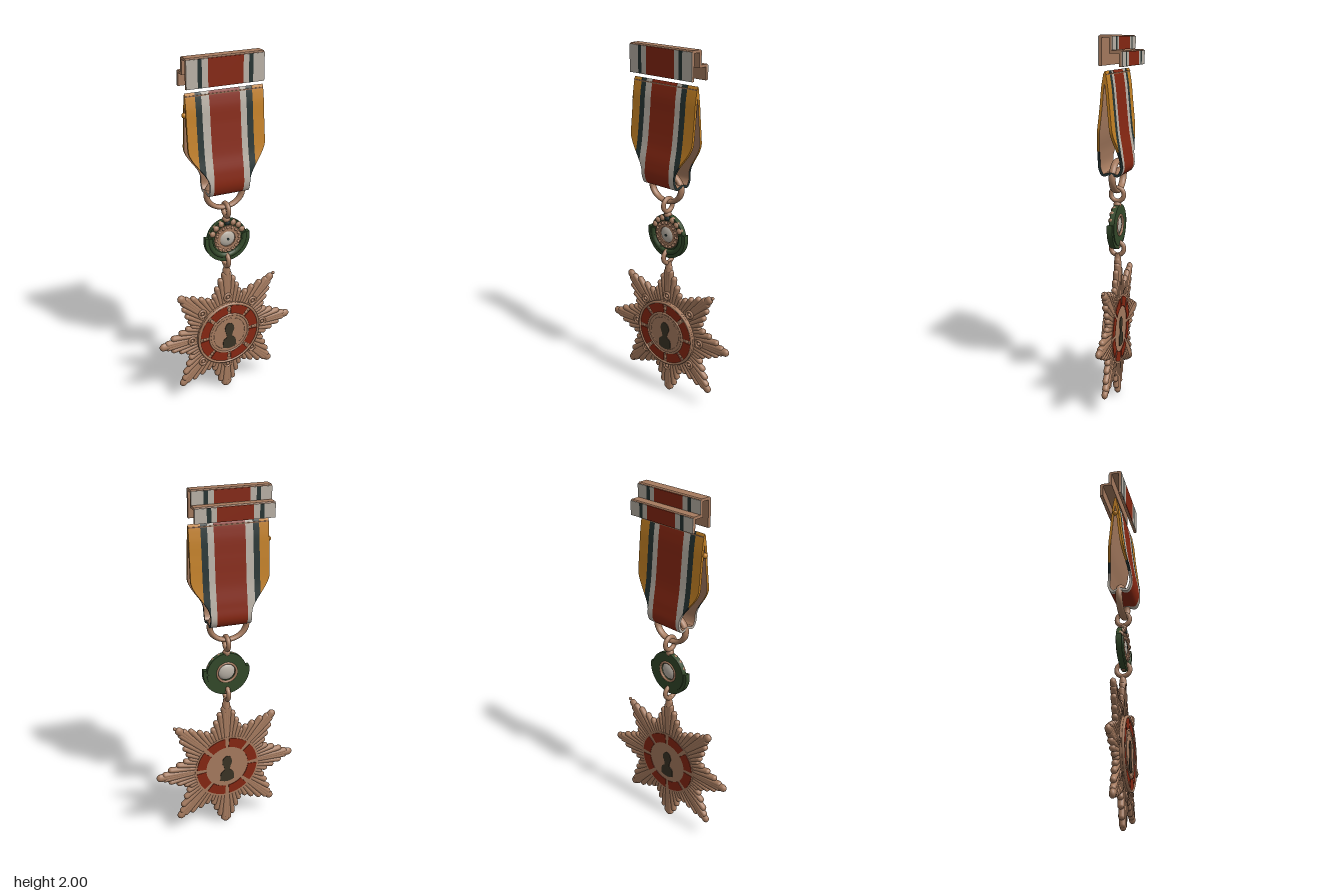
import * as THREE from 'three';
import { mergeGeometries, mergeVertices, toCreasedNormals } from 'three/addons/utils/BufferGeometryUtils.js';

const material = (name, color, side = THREE.FrontSide) =>
  Object.assign(new THREE.MeshStandardMaterial({ color, side }), { name });

export function createModel() {
  const bronze = material('bronze', 0xa67b5f, THREE.DoubleSide);
  const red = material('red', 0x862712, THREE.DoubleSide);
  const orange = material('orange', 0xc38024, THREE.DoubleSide);
  const white = material('white', 0xbab2a7, THREE.DoubleSide);
  const dark = material('dark teal', 0x253332, THREE.DoubleSide);
  const green = material('green', 0x33492a);
  const umber = material('umber', 0x3a3325);

  const model = new THREE.Group();
  const add = (parent, name, geometry, mat, x = 0, y = 0, z = 0) => {
    const mesh = new THREE.Mesh(geometry, mat);
    mesh.name = name;
    mesh.position.set(x, y, z);
    parent.add(mesh);
    return mesh;
  };
  const group = (name, x, y, z) => {
    const g = new THREE.Group();
    g.name = name;
    g.position.set(x, y, z);
    model.add(g);
    return g;
  };
  // Flat ring or ring segment between two radii
  const arcPlate = (outer, inner, depth, a0 = 0, a1 = Math.PI * 2 - 0.001) => {
    const s = new THREE.Shape();
    s.absarc(0, 0, outer, a0, a1, false);
    s.absarc(0, 0, inner, a1, a0, true);
    return new THREE.ExtrudeGeometry(s, { depth, bevelEnabled: false, curveSegments: 36 });
  };
  const disc = (r, depth) => new THREE.CylinderGeometry(r, r, depth, 48).rotateX(Math.PI / 2);

  // Brooch bar: stepped sheet profile, drawn as (-z, y) and extruded along x
  const bar = group('broochBar', 0, 0, 0);
  const profile = new THREE.Shape([
    [-0.037, 1.85], [-0.037, 1.995], [-0.03, 2], [0.023, 2], [0.03, 1.995], [0.03, 1.925], [0.076, 1.925],
    [0.081, 1.92], [0.081, 1.845], [0.067, 1.845], [0.067, 1.911], [0.016, 1.911], [0.016, 1.986],
    [-0.023, 1.986], [-0.023, 1.85],
  ].map(([u, y]) => new THREE.Vector2(u, y)));
  add(bar, 'barBody', new THREE.ExtrudeGeometry(profile, { depth: 0.42, bevelEnabled: false })
    .rotateY(Math.PI / 2), bronze, -0.235);
  const barStripes = [
    [-0.235, -0.175, white], [-0.175, -0.153, dark], [-0.153, -0.12, white], [-0.12, 0.07, red],
    [0.07, 0.1, white], [0.1, 0.123, dark], [0.123, 0.185, white],
  ];
  for (const [z, y0, y1] of [[0.038, 1.851, 1.993], [-0.031, 1.927, 1.993], [-0.082, 1.846, 1.919]])
    for (const [x0, x1, mat] of barStripes)
      add(bar, 'barStripe', new THREE.BoxGeometry(x1 - x0, y1 - y0, 0.005), mat, (x0 + x1) / 2, (y0 + y1) / 2, z);

  // Ribbon: a closed loop of cloth, tapering toward the ring
  const ribbon = group('ribbon', 0, 0, 0);
  const path = new THREE.CatmullRomCurve3([
    [0.004, 1.825], [0.02, 1.76], [0.031, 1.65], [0.05, 1.5], [0.07, 1.4], [0.073, 1.32], [0.05, 1.277],
    [0.005, 1.285], [-0.035, 1.275], [-0.06, 1.31], [-0.054, 1.39], [-0.036, 1.5], [-0.021, 1.65], [-0.01, 1.76],
  ].map(([z, y]) => new THREE.Vector3(0, y, z)), true);
  const steps = 96;
  const rows = Array.from({ length: steps + 1 }, (_, i) => {
    const p = path.getPointAt((i % steps) / steps), t = path.getTangentAt((i % steps) / steps);
    const k = THREE.MathUtils.smoothstep(p.y, 1.34, 1.54);
    return {
      left: -0.128 - 0.105 * k, right: 0.098 + 0.097 * k,
      outer: [p.y, p.z], inner: [p.y - 0.014 * t.z, p.z + 0.014 * t.y],
    };
  });
  const strip = (x0, x1, lining) => {
    const pos = [];
    const quad = (a, b, c, d) => pos.push(...a, ...b, ...c, ...a, ...c, ...d);
    for (let i = 0; i < steps; i++) {
      const [p, q] = [rows[i], rows[i + 1]];
      const [pa, pb, qa, qb] = [[p, x0], [p, x1], [q, x0], [q, x1]].map(
        ([r, x]) => THREE.MathUtils.clamp(x, r.left, r.right));
      if (pb - pa < 1e-4 && qb - qa < 1e-4) continue;
      if (lining) {
        quad([pa, ...p.inner], [pb, ...p.inner], [qb, ...q.inner], [qa, ...q.inner]);
      } else {
        quad([pa, ...p.outer], [qa, ...q.outer], [qb, ...q.outer], [pb, ...p.outer]);
        quad([pa, ...p.inner], [qa, ...q.inner], [qa, ...q.outer], [pa, ...p.outer]);
        quad([pb, ...p.outer], [qb, ...q.outer], [qb, ...q.inner], [pb, ...p.inner]);
      }
    }
    const g = new THREE.BufferGeometry();
    g.setAttribute('position', new THREE.Float32BufferAttribute(pos, 3));
    return toCreasedNormals(mergeVertices(g), 0.8);
  };
  const ribbonStripes = [
    [-0.24, -0.18, orange], [-0.18, -0.147, dark], [-0.147, -0.105, white], [-0.105, 0.063, red],
    [0.063, 0.097, white], [0.097, 0.132, dark], [0.132, 0.2, orange],
  ];
  for (const [x0, x1, mat] of ribbonStripes) add(ribbon, 'ribbonStripe', strip(x0, x1, false), mat);
  add(ribbon, 'ribbonLining', strip(-0.24, 0.2, true), bronze);
  add(ribbon, 'ribbonKnot', new THREE.SphereGeometry(0.014, 12, 8), orange, -0.236, 1.715, 0.005);

  // Suspension ring and the two small links
  const ring = add(model, 'suspensionRing', new THREE.TorusGeometry(0.103, 0.016, 12, 48), bronze, -0.016, 1.265, 0);
  ring.scale.set(1, 0.8, 1.2);
  for (const [y, r] of [[1.163, 0.036], [0.862, 0.037]])
    add(model, 'link', new THREE.TorusGeometry(r, 0.013, 10, 28).rotateY(Math.PI / 2), bronze, -0.007, y, 0);

  // Rosette: green wreath, bronze beads and a white domed centre
  const rosette = group('rosette', -0.004, 0.995, 0);
  add(rosette, 'wreath', arcPlate(0.113, 0.055, 0.028), green, 0, 0, -0.017);
  add(rosette, 'wreathLeaves', arcPlate(0.132, 0.088, 0.03, Math.PI * 0.94, Math.PI * 2.06), green, 0, 0, -0.012);
  add(rosette, 'wreathRim', new THREE.TorusGeometry(0.1, 0.016, 8, 40, Math.PI * 1.12), green, 0, 0, 0.008)
    .rotation.z = Math.PI * 0.94;
  for (let i = 0; i <= 6; i++) {
    const a = Math.PI * (0.14 + i * 0.12);
    add(rosette, 'crownBead', new THREE.SphereGeometry(0.019, 10, 8), i === 3 ? dark : bronze,
      Math.cos(a) * 0.096, Math.sin(a) * 0.096, 0.004);
  }
  add(rosette, 'innerRing', arcPlate(0.078, 0.045, 0.008), bronze, 0, 0, 0.009);
  for (let i = 0; i < 16; i++) {
    const a = i * Math.PI / 8;
    add(rosette, 'innerBead', new THREE.SphereGeometry(0.009, 8, 6), bronze, Math.cos(a) * 0.068, Math.sin(a) * 0.068, 0.016);
  }
  add(rosette, 'dome', new THREE.SphereGeometry(0.05, 32, 16).scale(1, 1, 0.42), white);
  add(rosette, 'domeBackRim', new THREE.TorusGeometry(0.055, 0.007, 8, 36), bronze, 0, 0, -0.015);
  add(rosette, 'domePin', disc(0.007, 0.006), dark, 0, 0, 0.021);
  add(rosette, 'upperLug', new THREE.SphereGeometry(0.022, 12, 8), bronze, -0.003, 0.112, 0);
  add(rosette, 'lowerLug', new THREE.SphereGeometry(0.016, 12, 8), bronze, 0, -0.122, 0);

  // Star: eight points, each a fan of rounded rays
  const star = group('star', -0.003, 0.4, -0.003);
  star.rotation.y = 0.048;
  const rays = [];
  const ray = (angle, length, radius) => {
    const inner = 0.08;
    rays.push(new THREE.CapsuleGeometry(radius, length - inner - 2 * radius, 4, 12)
      .translate(0, (length + inner) / 2, 0)
      .scale(1, 1, 0.017 / radius)
      .rotateZ(-angle));
  };
  const degree = Math.PI / 180;
  for (let i = 0; i < 8; i++) {
    const a = i * 45 * degree;
    ray(a, i === 4 ? 0.395 : 0.418, 0.023);
    for (const side of [-1, 1]) {
      ray(a + side * 2.2 * degree, 0.385, 0.017);
      ray(a + side * 6.6 * degree, 0.352, 0.017);
      ray(a + side * 12 * degree, 0.308, 0.017);
      ray(a + side * 17.5 * degree, 0.272, 0.017);
    }
    ray(a + 22.5 * degree, 0.247, 0.016);
    // Coiled stud at the root of each point
    const x = Math.sin(a) * 0.226, y = Math.cos(a) * 0.226;
    add(star, 'studCoil', new THREE.TorusGeometry(0.02, 0.007, 8, 20), bronze, x, y, 0.017);
    add(star, 'studCentre', new THREE.SphereGeometry(0.01, 10, 8), bronze, x, y, 0.017);
  }
  add(star, 'rays', mergeGeometries(rays), bronze);
  add(star, 'topLug', new THREE.CylinderGeometry(0.014, 0.022, 0.06, 12), bronze, 0, 0.405, 0);
  add(star, 'tipKnob', new THREE.SphereGeometry(0.01, 8, 6), bronze, 0.303, 0.298, 0);

  // Medallion with enamel segments on both faces
  add(star, 'medallionBody', disc(0.195, 0.049), bronze, 0, -0.004, 0.007);
  add(star, 'medallionCentre', disc(0.122, 0.006), bronze, 0, -0.004, 0.034);
  for (const [r, tube] of [[0.19, 0.008], [0.123, 0.007], [0.1, 0.004]])
    add(star, 'medallionRim', new THREE.TorusGeometry(r, tube, 8, 56), bronze, 0, -0.004, 0.034);
  const bust = new THREE.Shape();
  bust.moveTo(-0.042, -0.09);
  bust.splineThru([[-0.038, -0.045], [-0.017, -0.025], [-0.021, 0], [-0.029, 0.027], [-0.018, 0.058], [0.004, 0.065],
    [0.024, 0.05], [0.03, 0.022], [0.021, 0], [0.018, -0.025], [0.038, -0.045], [0.043, -0.09]]
    .map(([x, y]) => new THREE.Vector2(x, y)));
  bust.quadraticCurveTo(0, -0.115, -0.042, -0.09);
  const bustGeometry = new THREE.ExtrudeGeometry(bust, { depth: 0.004, bevelEnabled: false });
  for (const [side, z] of [['front', 0.0312], ['back', -0.0205]]) {
    for (let i = 0; i < 8; i++) {
      const a = i * 45 * degree;
      add(star, side + 'Enamel', arcPlate(0.184, 0.128, 0.005, a + 0.07, a + 45 * degree - 0.07), red, 0, -0.004, z);
      if (side === 'front')
        add(star, 'enamelClasp', new THREE.SphereGeometry(0.011, 10, 8).scale(1, 1, 0.5), bronze,
          Math.cos(a) * 0.156, Math.sin(a) * 0.156 - 0.004, 0.033);
    }
    add(star, side + 'Bust', bustGeometry, umber, 0, 0, side === 'front' ? 0.036 : -0.0205);
  }
  return model;
}
